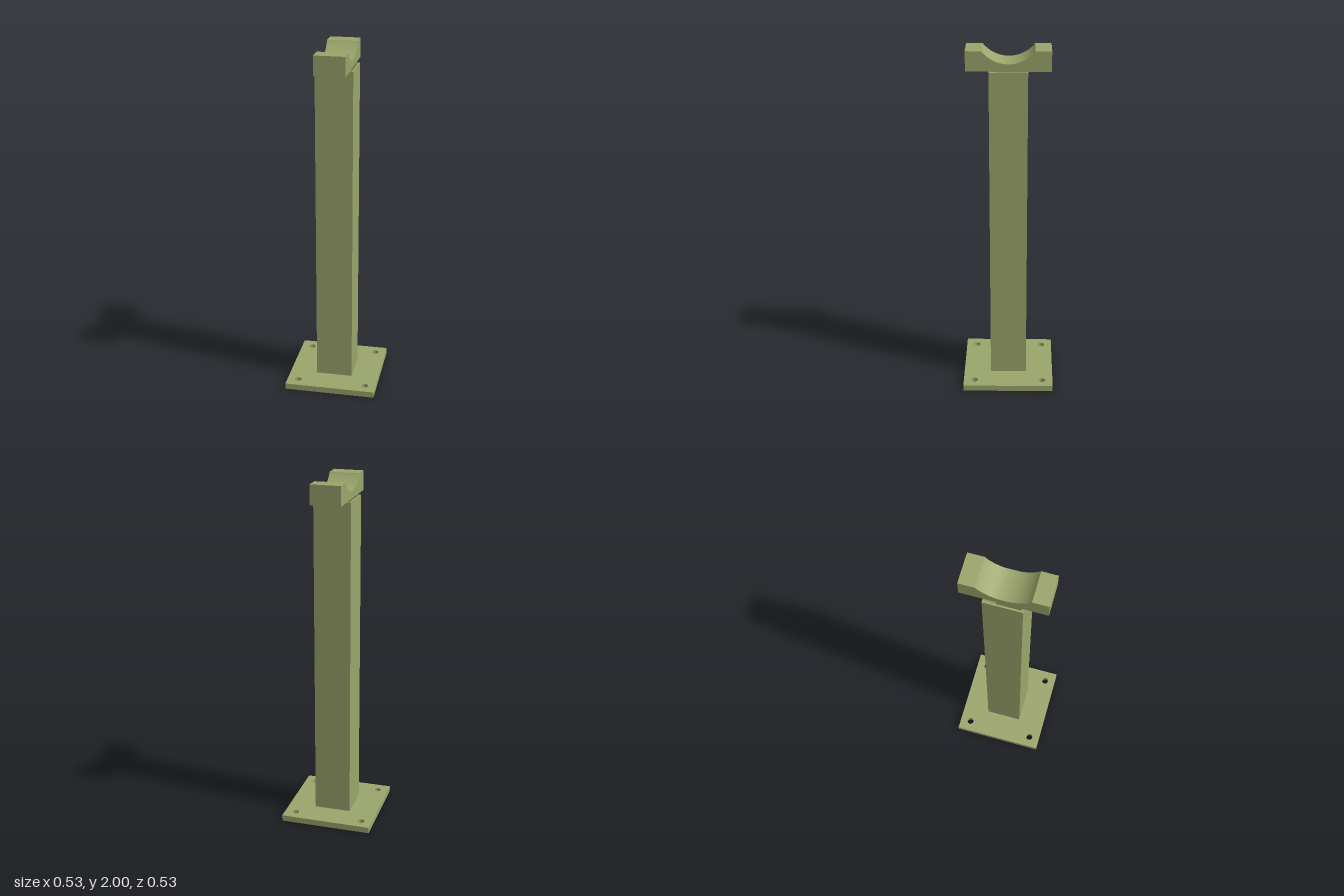
import * as THREE from 'three';
import { toCreasedNormals } from 'three/addons/utils/BufferGeometryUtils.js';

const PLATE_TOP = 0.035, POST_TOP = 1.89, TOP = 2;

function squarePath(half, PathType = THREE.Shape) {
  return new PathType([[-1, -1], [1, -1], [1, 1], [-1, 1]].map(
    ([x, y]) => new THREE.Vector2(x * half, y * half)));
}

// Extrudes a shape and keeps its curved walls smooth
function extrude(shape, depth) {
  return toCreasedNormals(new THREE.ExtrudeGeometry(shape, {
    depth, bevelEnabled: false, curveSegments: 32,
  }), Math.PI / 6);
}

export function createModel() {
  const model = new THREE.Group();
  model.name = 'saddleSupport';
  const paint = new THREE.MeshStandardMaterial({ color: 0x9ba56b });
  paint.name = 'olivePaint';
  const add = (name, geometry) => {
    const mesh = new THREE.Mesh(geometry, paint);
    mesh.name = name;
    model.add(mesh);
  };

  // Base plate with four bolt holes
  const plate = squarePath(0.263);
  for (const x of [-0.2, 0.2]) {
    for (const z of [-0.2, 0.2]) {
      plate.holes.push(new THREE.Path().absarc(x, z, 0.02, 0, Math.PI * 2, true));
    }
  }
  add('basePlate', extrude(plate, PLATE_TOP).rotateX(-Math.PI / 2));

  // Hollow square post
  const tube = squarePath(0.105);
  tube.holes.push(squarePath(0.095, THREE.Path));
  add('post', extrude(tube, POST_TOP - PLATE_TOP)
    .rotateX(-Math.PI / 2).translate(0, PLATE_TOP, 0));

  // Saddle block with a circular trough for a pipe
  const half = 0.23, lip = 0.142, trough = 0.07, width = 0.17;
  const radius = (lip * lip + trough * trough) / (2 * trough);
  const centreY = TOP - trough + radius;
  const start = Math.atan2(TOP - centreY, lip);
  const saddle = new THREE.Shape();
  saddle.moveTo(-half, POST_TOP);
  saddle.lineTo(half, POST_TOP);
  saddle.lineTo(half, TOP);
  saddle.lineTo(lip, TOP);
  saddle.absarc(0, centreY, radius, start, -Math.PI - start, true);
  saddle.lineTo(-half, TOP);
  saddle.closePath();
  add('saddle', extrude(saddle, width)
    .translate(0, 0, -width / 2).rotateY(Math.PI / 2));

  return model;
}
